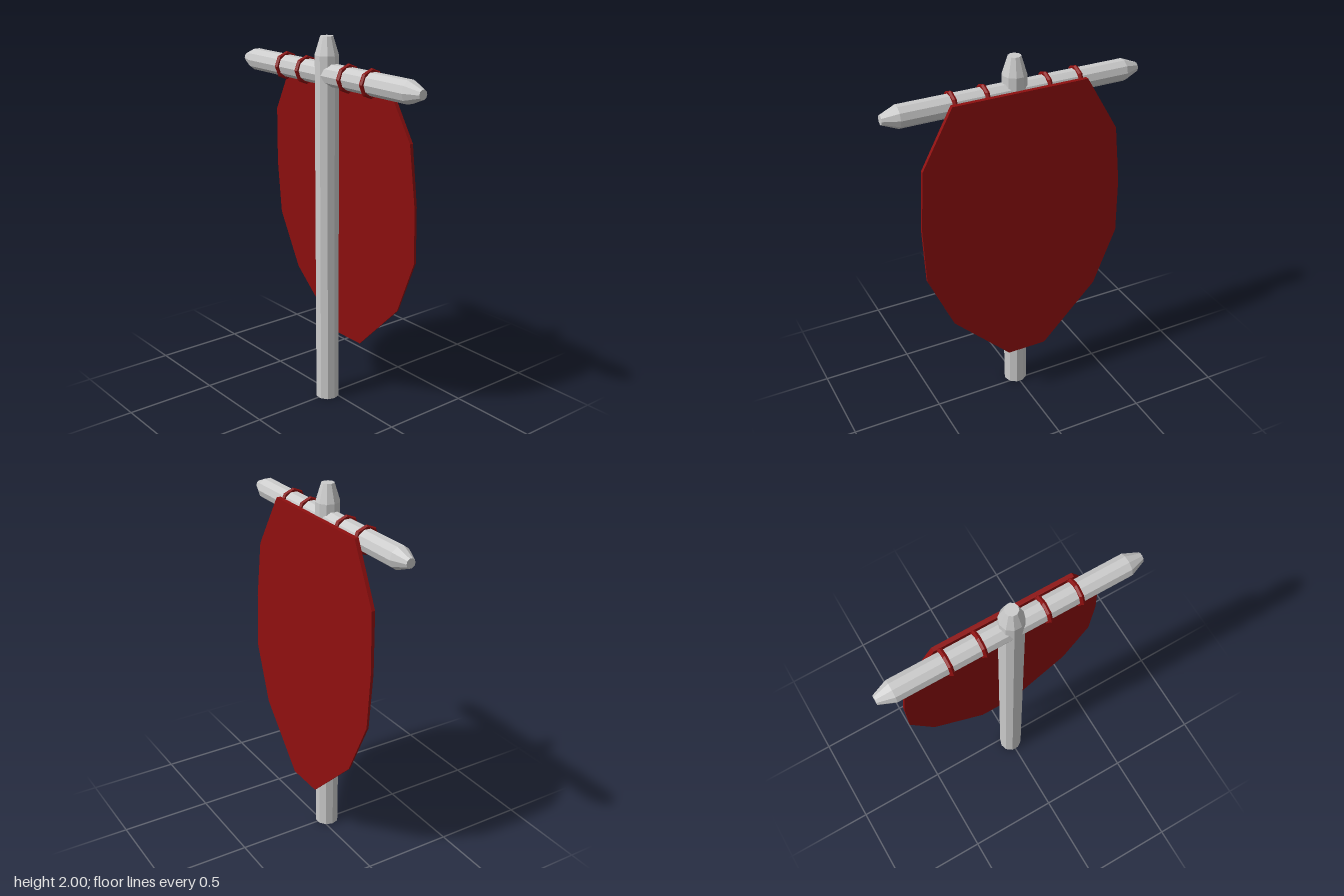
import * as THREE from 'three';

const grey = new THREE.MeshStandardMaterial({ color: 0xcccccc, flatShading: true, side: THREE.DoubleSide });
const red = new THREE.MeshStandardMaterial({ color: 0x8e0f0f, flatShading: true });

const POLE_X = -0.036, BAR_Y = 1.808, SIDES = 10;

function add(parent, name, geometry, material, x = 0, y = 0, z = 0) {
  const mesh = new THREE.Mesh(geometry, material);
  mesh.name = name;
  mesh.position.set(x, y, z);
  parent.add(mesh);
  return mesh;
}

// Flat-sided turned rod from [radius, height] pairs
function rod(profile) {
  return new THREE.LatheGeometry(profile.map(([r, y]) => new THREE.Vector2(r, y)), SIDES);
}

// Hanging cloth: outline extruded, then leaned outward and thinned toward the bottom
function clothGeometry() {
  const half = [[0.11, 0.31], [0.425, 0.615], [0.56, 0.92], [0.568, 1.22], [0.543, 1.535], [0.37, 1.838]];
  const outline = [...half, ...half.slice().reverse().map(([s, y]) => [-s, y])];
  const shape = new THREE.Shape(outline.map(([s, y]) => new THREE.Vector2(s, y)));
  const geometry = new THREE.ExtrudeGeometry(shape, { depth: 1, bevelEnabled: false });
  geometry.rotateY(Math.PI / 2);
  const pos = geometry.attributes.position;
  for (let i = 0; i < pos.count; i++) {
    const t = (1.838 - pos.getY(i)) / 1.528;
    const back = THREE.MathUtils.lerp(0.024, 0.105, t);
    const front = THREE.MathUtils.lerp(0.047, 0.11, t);
    pos.setX(i, THREE.MathUtils.lerp(back, front, pos.getX(i)));
  }
  geometry.computeVertexNormals();
  return geometry;
}

export function createModel() {
  const group = new THREE.Group();
  group.name = 'hangingBanner';

  // Upright pole, open underneath, with a tapered tip
  add(group, 'pole', rod([[0.064, 0], [0.064, 1.905], [0.034, 2], [0, 2]]), grey, POLE_X);

  // Crossbar tapered at both ends
  const bar = add(group, 'crossbar',
    rod([[0, -0.703], [0.025, -0.703], [0.059, -0.62], [0.059, 0.62], [0.025, 0.703], [0, 0.703]]),
    grey, POLE_X, BAR_Y);
  bar.rotation.set(Math.PI / 2, Math.PI / 2, 0, 'XYZ');

  // Rings holding the cloth
  for (const z of [-0.343, -0.17, 0.17, 0.343]) {
    add(group, 'ring', new THREE.TorusGeometry(0.063, 0.013, 6, 8), red, POLE_X, BAR_Y, z);
  }

  add(group, 'cloth', clothGeometry(), red);
  return group;
}
